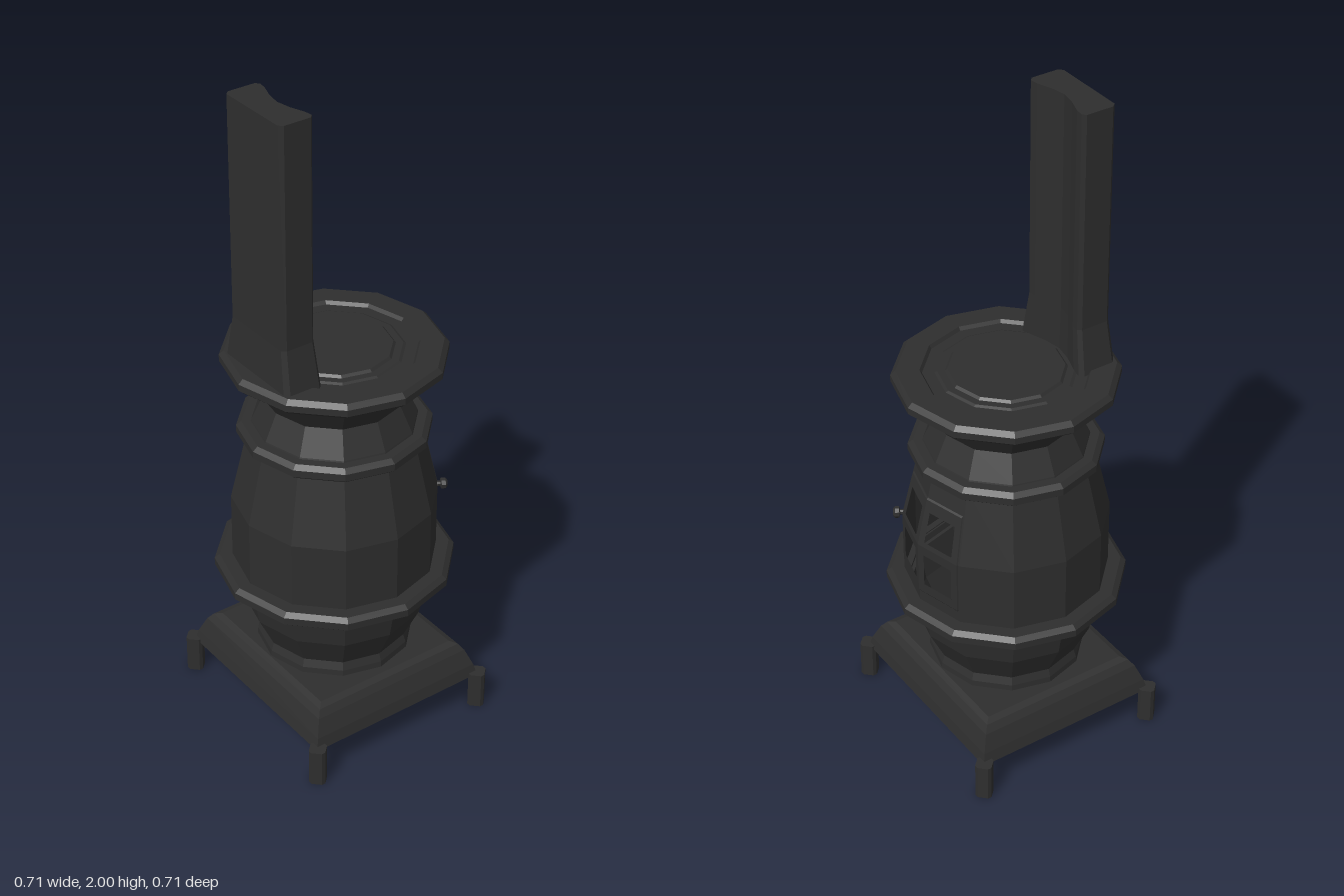
import * as THREE from 'three';

const iron = new THREE.MeshStandardMaterial({ color: 0x2e2e2e, flatShading: true, side: THREE.DoubleSide });
iron.name = 'cast iron';

const part = (name, geometry) => {
  const mesh = new THREE.Mesh(geometry, iron);
  mesh.name = name;
  return mesh;
};

// turned part; profile points are [radius, y]
const turned = (name, profile, sides = 12, start = 0, length = Math.PI * 2) =>
  part(name, new THREE.LatheGeometry(profile.map(([r, y]) => new THREE.Vector2(r, y)), sides, start, length));

// upright prism from an [x, z] outline
const prism = (outline, height, steps = 1) =>
  new THREE.ExtrudeGeometry(new THREE.Shape(outline.map(([x, z]) => new THREE.Vector2(x, -z))),
    { depth: height, steps, bevelEnabled: false }).rotateX(-Math.PI / 2);

// barrel wall between the two hoops
const BARREL = [[0.3, 0.49], [0.3, 0.72], [0.247, 0.95]];
const barrelRadius = (y) => (y < 0.72 ? 0.3 : 0.3 - (0.053 * (y - 0.72)) / 0.23);

// one facet of the door with two open panes, slightly raised from the barrel
function doorLeaf(side) {
  const us = [0, 0.14, 0.8, 0.94, 0.96, 1];
  const ys = [0.49, 0.55, 0.555, 0.585, 0.69, 0.72, 0.735, 0.83, 0.865, 0.87, 0.95];
  const point = (i, j) => {
    const u = us[i], y = ys[j];
    const raised = u <= 0.94 && y >= 0.555 && y <= 0.865;
    const r = barrelRadius(y) * (raised ? 1.012 : 1);
    return [side * r * 0.5 * u, y, -r * (1 - u * (1 - Math.cos(Math.PI / 6)))];
  };
  const positions = [];
  for (let i = 0; i < us.length - 1; i++) {
    for (let j = 0; j < ys.length - 1; j++) {
      if (i === 1 && (j === 3 || j === 6)) continue; // open pane
      const a = point(i, j), b = point(i + 1, j), c = point(i + 1, j + 1), d = point(i, j + 1);
      positions.push(...(side > 0 ? [a, c, b, a, d, c] : [a, b, c, a, c, d]).flat());
    }
  }
  const geometry = new THREE.BufferGeometry();
  geometry.setAttribute('position', new THREE.Float32BufferAttribute(positions, 3));
  geometry.computeVertexNormals();
  return part(side > 0 ? 'doorLeafLeft' : 'doorLeafRight', geometry);
}

// flue pipe with a hollowed inner side and a flared foot
function flue() {
  const outline = [
    [-0.125, 0.165], [-0.115, 0.155], [-0.09, 0.158], [-0.045, 0.174], [0, 0.182],
    [0.045, 0.174], [0.09, 0.158], [0.115, 0.155], [0.125, 0.165],
    [0.125, 0.248], [0.114, 0.26], [-0.114, 0.26], [-0.125, 0.248],
  ];
  const geometry = prism(outline, 1, 2);
  const p = geometry.attributes.position;
  for (let i = 0; i < p.count; i++) {
    const y = p.getY(i);
    if (y < 0.25) {
      p.setX(i, p.getX(i) * 1.2);
      p.setZ(i, 0.207 + (p.getZ(i) - 0.207) * 1.15);
    }
    p.setY(i, y < 0.25 ? 1.2 : y < 0.75 ? 1.34 : 2);
  }
  geometry.computeVertexNormals();
  return part('flue', geometry);
}

export function createModel() {
  const stove = new THREE.Group();
  stove.name = 'stove';

  // square stepped base
  const corner = Math.SQRT2;
  const base = turned('base', [
    [0, 0.105], [0.32, 0.105], [0.311, 0.14], [0.29, 0.19], [0.275, 0.21], [0.255, 0.217], [0, 0.217],
  ].map(([r, y]) => [r * corner, y]), 4, Math.PI / 4);
  base.scale.z = 0.295 / 0.32;
  stove.add(base);

  // chamfered legs set diagonally on the base corners
  const a = 0.028, b = 0.006;
  const legOutline = [[a, -b], [a, b], [b, a], [-b, a], [-a, b], [-a, -b], [-b, -a], [b, -a]];
  for (const x of [-1, 1]) {
    for (const z of [-1, 1]) {
      const leg = part('leg', prism(legOutline, 0.117));
      leg.position.set(x * 0.321, 0, z * 0.294);
      stove.add(leg);
    }
  }

  // fire pot
  stove.add(turned('lowerPot', [[0.232, 0.21], [0.23, 0.235], [0.222, 0.26], [0.27, 0.36], [0.295, 0.49]]));
  stove.add(turned('barrel', BARREL, 10, (7 * Math.PI) / 6, (10 * Math.PI) / 6));
  stove.add(turned('neck', [[0.247, 0.95], [0.237, 0.98], [0.2, 1.06], [0.272, 1.168]]));

  // hoops
  const hoop = (name, y, inner, outer) => turned(name, [
    [inner, y - 0.023], [outer - 0.015, y - 0.023], [outer, y - 0.011],
    [outer, y + 0.011], [outer - 0.015, y + 0.023], [inner, y + 0.023],
  ]);
  stove.add(hoop('lowerHoop', 0.493, 0.28, 0.353));
  stove.add(hoop('upperHoop', 0.953, 0.23, 0.28));

  // top plate with lid rings
  stove.add(turned('topPlate', [
    [0.26, 1.167], [0.307, 1.167], [0.322, 1.18], [0.322, 1.2], [0.308, 1.213], [0.241, 1.213],
    [0.234, 1.203], [0.2, 1.203], [0.192, 1.207], [0.171, 1.207], [0.164, 1.214], [0, 1.214],
  ]));
  stove.add(flue());

  // door and its knob
  const door = new THREE.Group();
  door.name = 'door';
  door.add(doorLeaf(1), doorLeaf(-1));
  const knob = turned('knob', [[0.008, 0], [0.008, 0.015], [0.017, 0.018], [0.017, 0.03], [0.01, 0.036], [0, 0.036]], 8);
  knob.position.set(0.146, 0.72, -0.253);
  knob.quaternion.setFromUnitVectors(new THREE.Vector3(0, 1, 0), new THREE.Vector3(0.5, 0, -Math.sqrt(0.75)));
  door.add(knob);
  stove.add(door);

  return stove;
}
